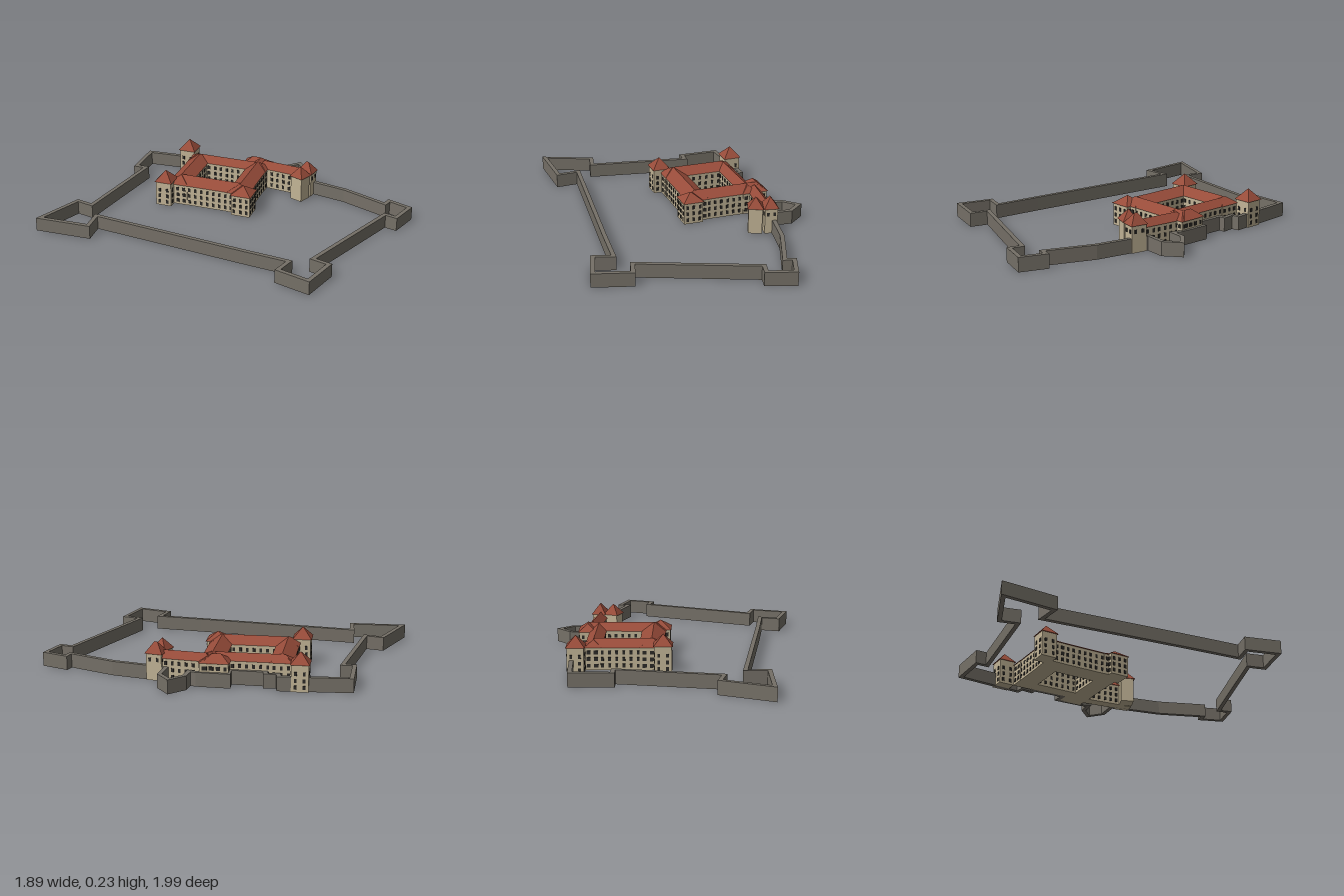
import * as THREE from 'three';
import { mergeGeometries } from 'three/addons/utils/BufferGeometryUtils.js';

const material = (name, color) => {
  const m = new THREE.MeshStandardMaterial({ color });
  m.name = name;
  return m;
};

// Hipped roof on a w x d base at y = 0; the ridge follows the longer side
function hipRoof(w, d, h) {
  const x = w / 2, z = d / 2, m = Math.min(x, z);
  const rx = x - m, rz = z - m;
  const a = [-x, 0, z], b = [x, 0, z], c = [x, 0, -z], e = [-x, 0, -z];
  const p = [-rx, h, rz], q = [rx, h, rz], r = [rx, h, -rz], s = [-rx, h, -rz];
  const quads = [[a, b, q, p], [b, c, r, q], [c, e, s, r], [e, a, p, s], [e, c, b, a]];
  const pos = [];
  for (const [i, j, k, l] of quads) pos.push(...i, ...j, ...k, ...i, ...k, ...l);
  const g = new THREE.BufferGeometry();
  g.setAttribute('position', new THREE.Float32BufferAttribute(pos, 3));
  g.computeVertexNormals();
  return g;
}

// Thin window panes in rows on all four sides of a block
function windowPanes(w, d, rows) {
  const panes = [];
  for (let side = 0; side < 4; side++) {
    const len = side % 2 ? d : w, off = (side % 2 ? w : d) / 2;
    const n = Math.max(2, Math.round(len / 0.042));
    for (const y of rows) {
      for (let i = 0; i < n; i++) {
        const g = new THREE.BoxGeometry(0.016, 0.023, 0.006);
        g.translate(((i + 0.5) / n - 0.5) * len, y, off);
        g.rotateY(side * Math.PI / 2);
        panes.push(g);
      }
    }
  }
  return mergeGeometries(panes);
}

export function createModel() {
  const model = new THREE.Group();
  model.name = 'fortress';
  const plaster = material('beige plaster', 0xc2b496);
  const tile = material('red roof tile', 0x984c3a);
  const stone = material('grey stone', 0x757067);
  const glass = material('dark window', 0x2b2926);

  // One building block: walls, hipped roof and windows
  function block(parent, name, [x, z], [w, d], eave, top, rows, turn = 0) {
    const g = new THREE.Group();
    g.name = name;
    g.position.set(x, 0, z);
    g.rotation.y = turn;
    const add = (part, geo, mat) => {
      const mesh = new THREE.Mesh(geo, mat);
      mesh.name = part;
      g.add(mesh);
      return mesh;
    };
    add('walls', new THREE.BoxGeometry(w, eave, d).translate(0, eave / 2, 0), plaster);
    add('roof', hipRoof(w + 0.014, d + 0.014, top - eave), tile).position.y = eave;
    if (rows.length) add('windows', windowPanes(w, d, rows), glass);
    parent.add(g);
  }

  // Four wings around the courtyard
  const castle = new THREE.Group();
  castle.name = 'castle';
  castle.position.set(0.27, 0, -0.325);
  castle.rotation.y = THREE.MathUtils.degToRad(30.5);
  model.add(castle);
  const floors = [0.027, 0.067, 0.107];
  block(castle, 'leftWing', [-0.185, 0], [0.135, 0.53], 0.137, 0.18, floors);
  block(castle, 'backWing', [-0.022, -0.2], [0.465, 0.125], 0.137, 0.18, floors);
  block(castle, 'frontWing', [0.01, 0.2], [0.53, 0.125], 0.137, 0.18, floors);
  block(castle, 'rightWing', [0.16, 0], [0.09, 0.53], 0.137, 0.175, floors);
  block(castle, 'sidePavilion', [0.225, 0.17], [0.1, 0.15], 0.138, 0.183, floors);

  // Corner towers of the castle
  block(castle, 'frontCornerTower', [-0.225, 0.232], [0.122, 0.122], 0.137, 0.187, floors);
  block(castle, 'leftCornerTower', [-0.255, -0.28], [0.102, 0.102], 0.16, 0.227, floors);
  block(castle, 'backCornerTower', [0.255, -0.315], [0.1, 0.1], 0.16, 0.227, floors);

  // Link wing and the pair of gate towers
  block(model, 'linkWing', [0.615, -0.105], [0.07, 0.33], 0.135, 0.177, floors, 0.42);
  block(model, 'gateTowerLeft', [0.692, 0.045], [0.078, 0.095], 0.16, 0.225, [0.125], 0.35);
  block(model, 'gateTowerRight', [0.608, 0.07], [0.085, 0.085], 0.16, 0.225, [], 0.15);

  // Curtain wall: closed path with corner bastions, mitred by offsetting both sides
  const path = [
    [0.19, -0.98], [-0.02, -0.86], [0.015, -0.8], [-0.58, -0.57], [-0.612, -0.675],
    [-0.925, -0.628], [-0.753, -0.355], [-0.638, -0.433], [-0.23, 0.49], [-0.112, 0.748],
    [-0.228, 0.778], [-0.177, 0.978], [0.04, 0.92], [0.012, 0.815], [0.74, 0.695],
    [0.762, 0.768], [0.924, 0.73], [0.898, 0.583], [0.845, 0.597], [0.797, 0.29],
    [0.718, 0.06], [0.69, -0.03], [0.808, -0.085], [0.847, -0.187], [0.742, -0.215],
    [0.66, -0.18], [0.65, -0.225], [0.562, -0.388], [0.5, -0.347], [0.4, -0.53],
    [0.428, -0.55], [0.385, -0.61], [0.42, -0.64],
  ].map(([x, z]) => new THREE.Vector2(x, z));
  const offset = (dist) => path.map((p, i) => {
    const before = path[(i + path.length - 1) % path.length], after = path[(i + 1) % path.length];
    const a = p.clone().sub(before).normalize(), b = after.clone().sub(p).normalize();
    const n = new THREE.Vector2(-a.y - b.y, a.x + b.x).normalize();
    const miter = Math.max(0.4, n.dot(new THREE.Vector2(-a.y, a.x)));
    return p.clone().addScaledVector(n, dist / miter);
  });
  const left = offset(0.013), right = offset(-0.013);
  const curtain = new THREE.Group();
  curtain.name = 'curtainWall';
  path.forEach((_, i) => {
    const j = (i + 1) % path.length;
    const plan = [left[i], left[j], right[j], right[i]].map((p) => new THREE.Vector2(p.x, -p.y));
    const geo = new THREE.ExtrudeGeometry(new THREE.Shape(plan), { depth: 0.085, bevelEnabled: false });
    geo.rotateX(-Math.PI / 2);
    const mesh = new THREE.Mesh(geo, stone);
    mesh.name = 'wallSection';
    curtain.add(mesh);
  });
  model.add(curtain);
  return model;
}
